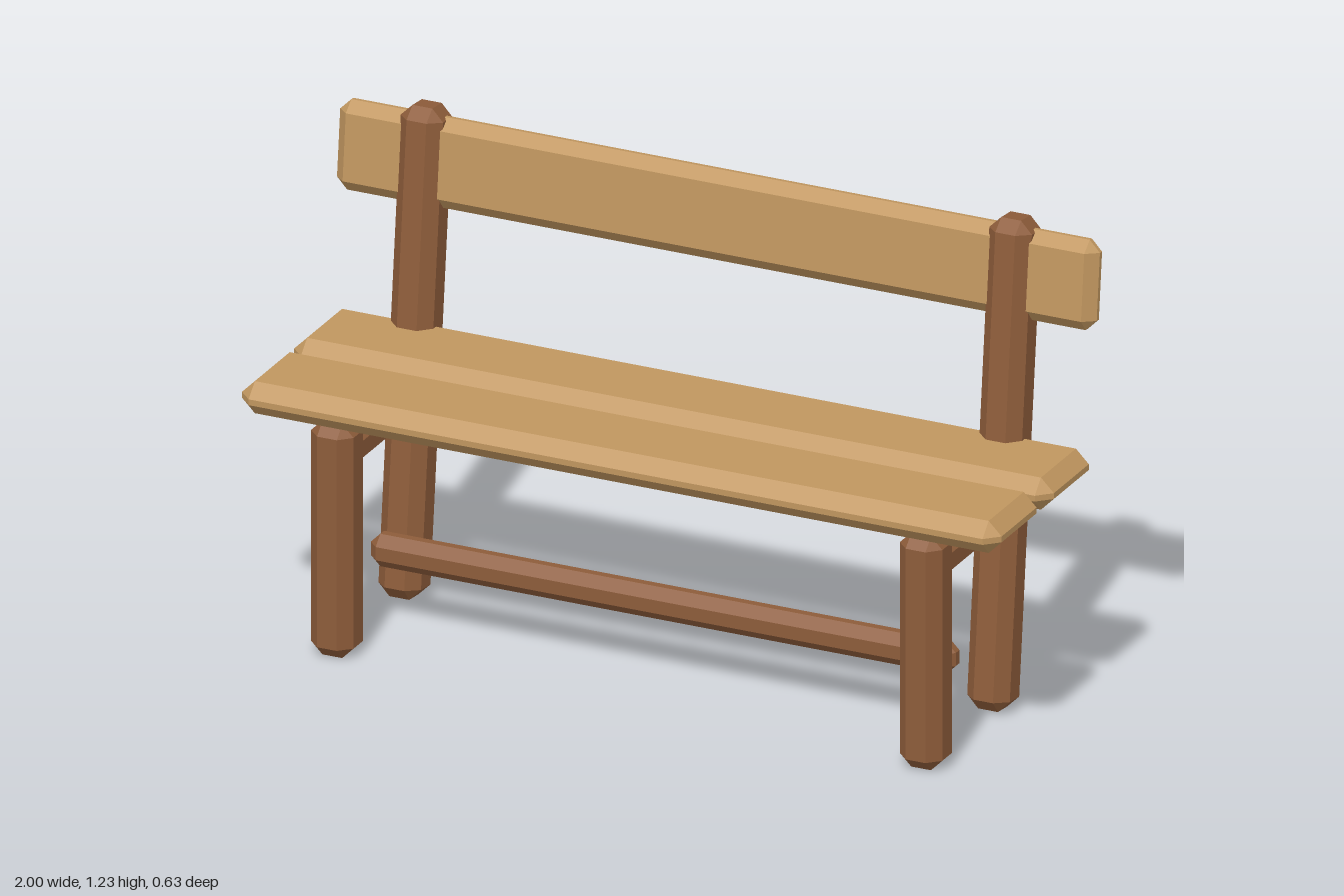
import * as THREE from 'three';
import { ConvexGeometry } from 'three/addons/geometries/ConvexGeometry.js';

const plankWood = new THREE.MeshStandardMaterial({ color: 0xc0965f, flatShading: true });
const frameWood = new THREE.MeshStandardMaterial({ color: 0x8d5c3a, flatShading: true });

// Box with every edge and corner cut off by a flat bevel
function beveledBox(w, h, d, bevel) {
  const half = [w / 2, h / 2, d / 2];
  const points = [];
  for (const sx of [-1, 1]) for (const sy of [-1, 1]) for (const sz of [-1, 1]) {
    for (let outer = 0; outer < 3; outer++) {
      const [x, y, z] = half.map((v, axis) => (axis === outer ? v : v - bevel));
      points.push(new THREE.Vector3(sx * x, sy * y, sz * z));
    }
  }
  return new ConvexGeometry(points);
}

export function createModel() {
  const bench = new THREE.Group();
  bench.name = 'bench';
  const lean = -0.104;

  function addBeam(name, material, size, position, bevel = 0.03, tilt = 0) {
    const mesh = new THREE.Mesh(beveledBox(...size, bevel), material);
    mesh.name = name;
    mesh.position.set(...position);
    mesh.rotation.x = tilt;
    bench.add(mesh);
  }

  // Seat planks and backrest
  addBeam('frontSeatPlank', plankWood, [2, 0.083, 0.26], [0, 0.645, 0.188], 0.034);
  addBeam('backSeatPlank', plankWood, [2, 0.083, 0.26], [0, 0.645, -0.099], 0.034);
  addBeam('backrest', plankWood, [2, 0.226, 0.068], [0, 1.09, -0.253], 0.028, lean);

  // Legs and side rails, mirrored left and right
  for (const [side, s] of [['left', 1], ['right', -1]]) {
    const x = s * 0.775;
    addBeam(side + 'FrontLeg', frameWood, [0.112, 0.605, 0.112], [x, 0.3025, 0.231]);
    addBeam(side + 'BackLeg', frameWood, [0.112, 1.228, 0.112], [x, 0.615, -0.2], 0.03, lean);
    addBeam(side + 'SideRail', frameWood, [0.09, 0.095, 0.38], [x, 0.515, 0.03], 0.026);
  }

  // Long foot stretcher
  addBeam('stretcher', frameWood, [1.54, 0.084, 0.07], [0, 0.202, 0.046], 0.025);

  return bench;
}
